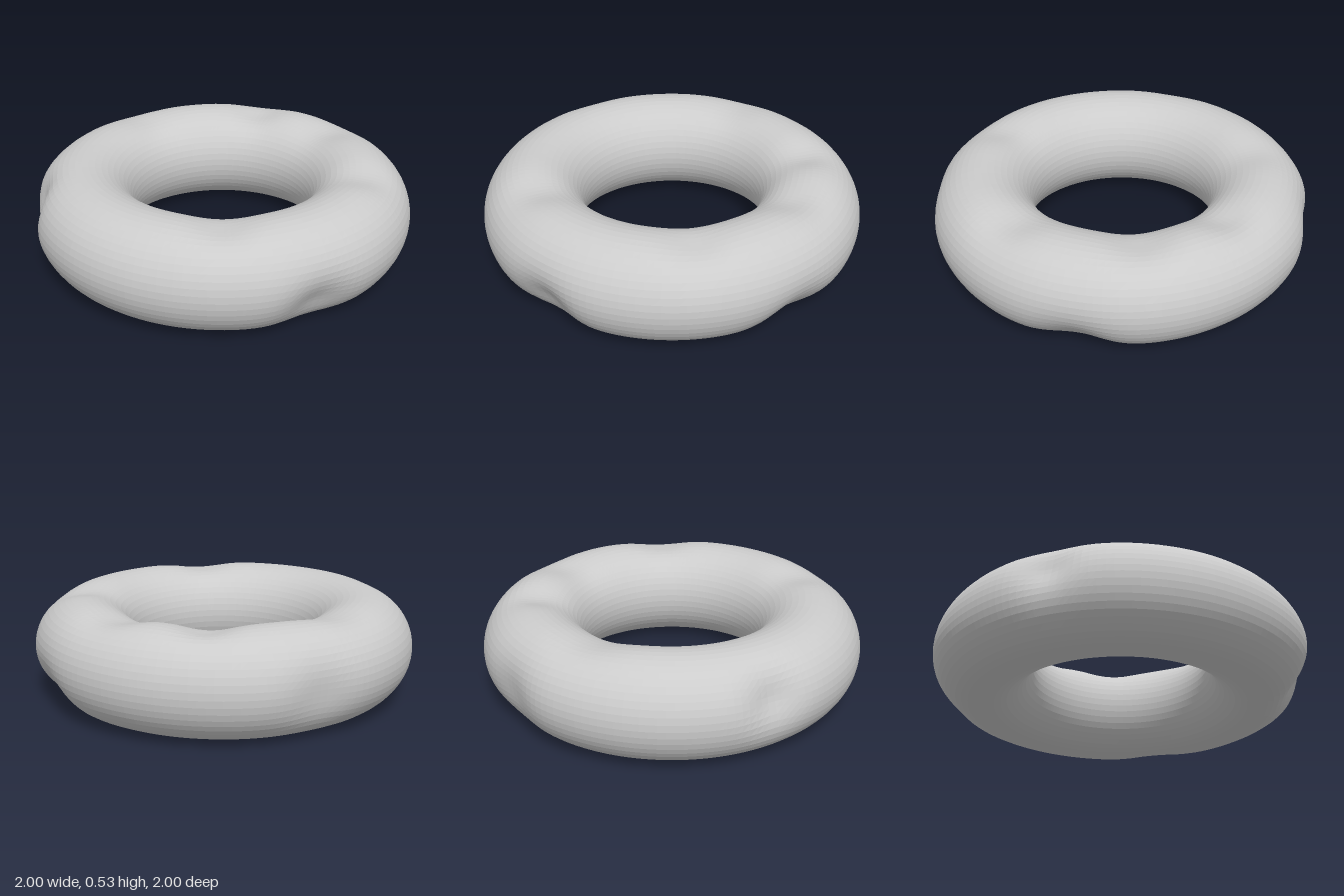
import * as THREE from 'three';
import { mergeVertices } from 'three/addons/utils/BufferGeometryUtils.js';

const RING = 0.735, TUBE = 0.265, CENTRE_Y = 0.268;

// Soft dents: direction around the ring (x, z), tube angle (0 outer, 90 top, -90 bottom), depth, width
const DENTS = [
  [-0.95, 0.25, 18, 0.055, 0.14],
  [-0.38, -0.9, -5, 0.04, 0.17],
  [0.53, 0.8, -25, 0.06, 0.16],
  [0.93, -0.35, -40, 0.045, 0.17],
  [0.08, 0.73, 90, 0.035, 0.15],
  [0.14, -0.72, 95, 0.04, 0.14],
  [0.72, 0.12, 85, 0.035, 0.15],
  [0.55, -0.48, 95, 0.04, 0.16],
  [-0.5, -0.53, 95, 0.025, 0.16],
];

export function createModel() {
  const group = new THREE.Group();
  group.name = 'dentedRing';

  let geometry = new THREE.TorusGeometry(RING, TUBE, 48, 160);
  geometry.rotateX(Math.PI / 2);
  geometry.deleteAttribute('uv');
  geometry.deleteAttribute('normal');
  geometry = mergeVertices(geometry, 1e-4);

  const dents = DENTS.map(([x, z, angle, depth, width]) => {
    const a = THREE.MathUtils.degToRad(angle);
    const radius = RING + TUBE * Math.cos(a);
    const length = Math.hypot(x, z);
    const centre = new THREE.Vector3(x / length * radius, TUBE * Math.sin(a), z / length * radius);
    return { centre, depth, width };
  });

  // Push each vertex towards the core of the tube by the dents near it
  const position = geometry.attributes.position;
  const p = new THREE.Vector3(), core = new THREE.Vector3();
  for (let i = 0; i < position.count; i++) {
    p.fromBufferAttribute(position, i);
    core.set(p.x, 0, p.z).setLength(RING);
    let push = 0;
    for (const { centre, depth, width } of dents) {
      push += depth * Math.exp(-p.distanceToSquared(centre) / (width * width));
    }
    p.lerp(core, push / TUBE);
    position.setXYZ(i, p.x, p.y + CENTRE_Y, p.z);
  }
  geometry.computeVertexNormals();

  const ring = new THREE.Mesh(geometry, new THREE.MeshStandardMaterial({ color: 0xcccccc, flatShading: true }));
  ring.name = 'ring';
  group.add(ring);
  return group;
}
